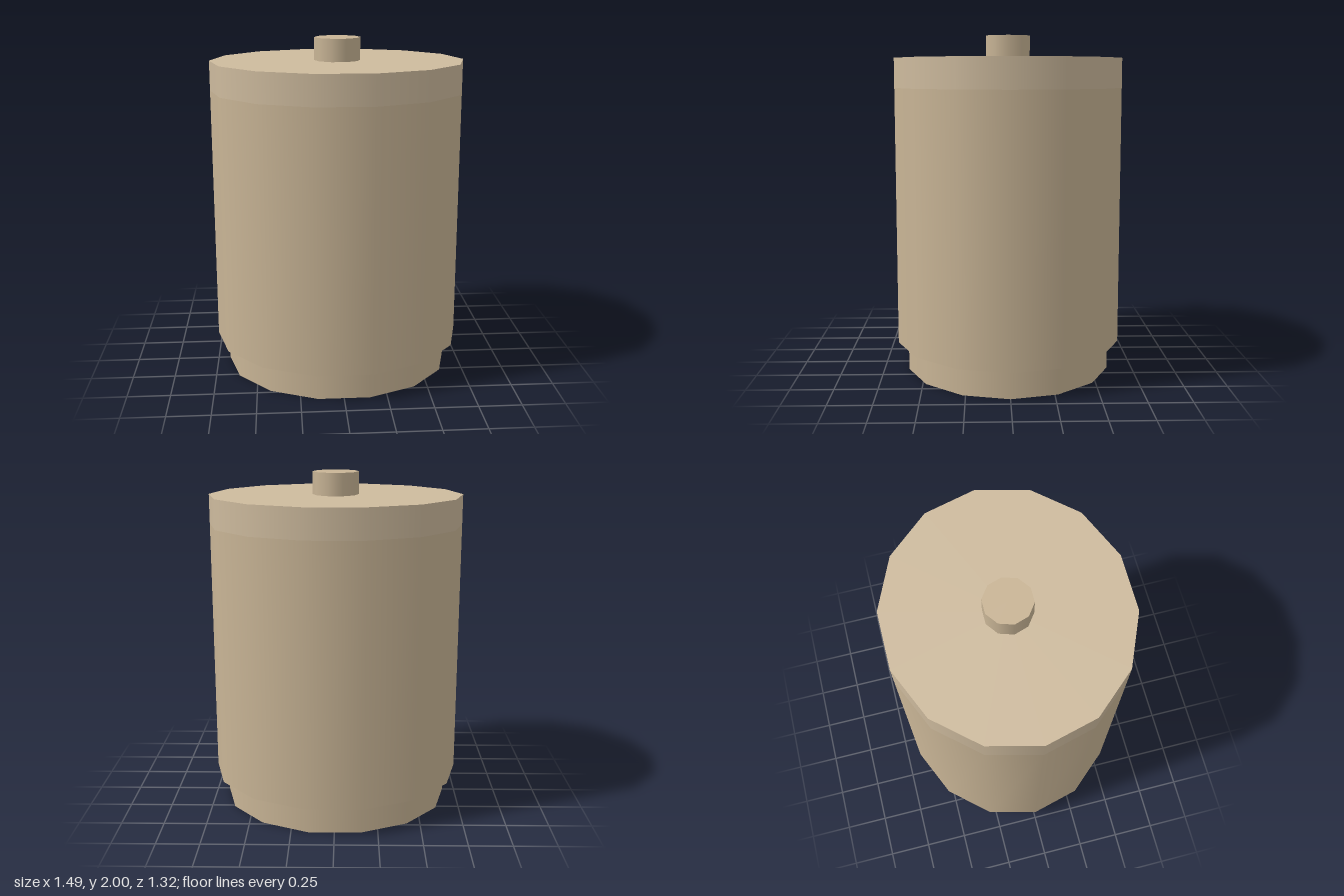
import * as THREE from 'three';

const DEPTH = 0.91; // the canister is slightly oval, shallower in z

export function createModel() {
  const group = new THREE.Group();
  const tan = new THREE.MeshStandardMaterial({ color: 0xc9b596 });
  const lightTan = new THREE.MeshStandardMaterial({ color: 0xcebb9e });

  // Upright prism with smooth sides and a corner on the x axis
  function drum(name, radius, bottom, top, sides, depth, material) {
    const geometry = new THREE.CylinderGeometry(radius, radius, top - bottom, sides);
    geometry.rotateY(Math.PI / 2);
    geometry.scale(1, 1, depth);
    geometry.translate(0, (top + bottom) / 2, 0);
    const mesh = new THREE.Mesh(geometry, material);
    mesh.name = name;
    group.add(mesh);
  }

  // Recessed foot, main body, flush lid band and top knob
  drum('base', 0.677, 0, 0.172, 14, DEPTH, tan);
  drum('body', 0.745, 0.172, 1.695, 14, DEPTH, tan);
  drum('lid', 0.745, 1.695, 1.868, 14, DEPTH, lightTan);
  drum('knob', 0.135, 1.868, 2, 10, 1.01, tan);

  return group;
}
